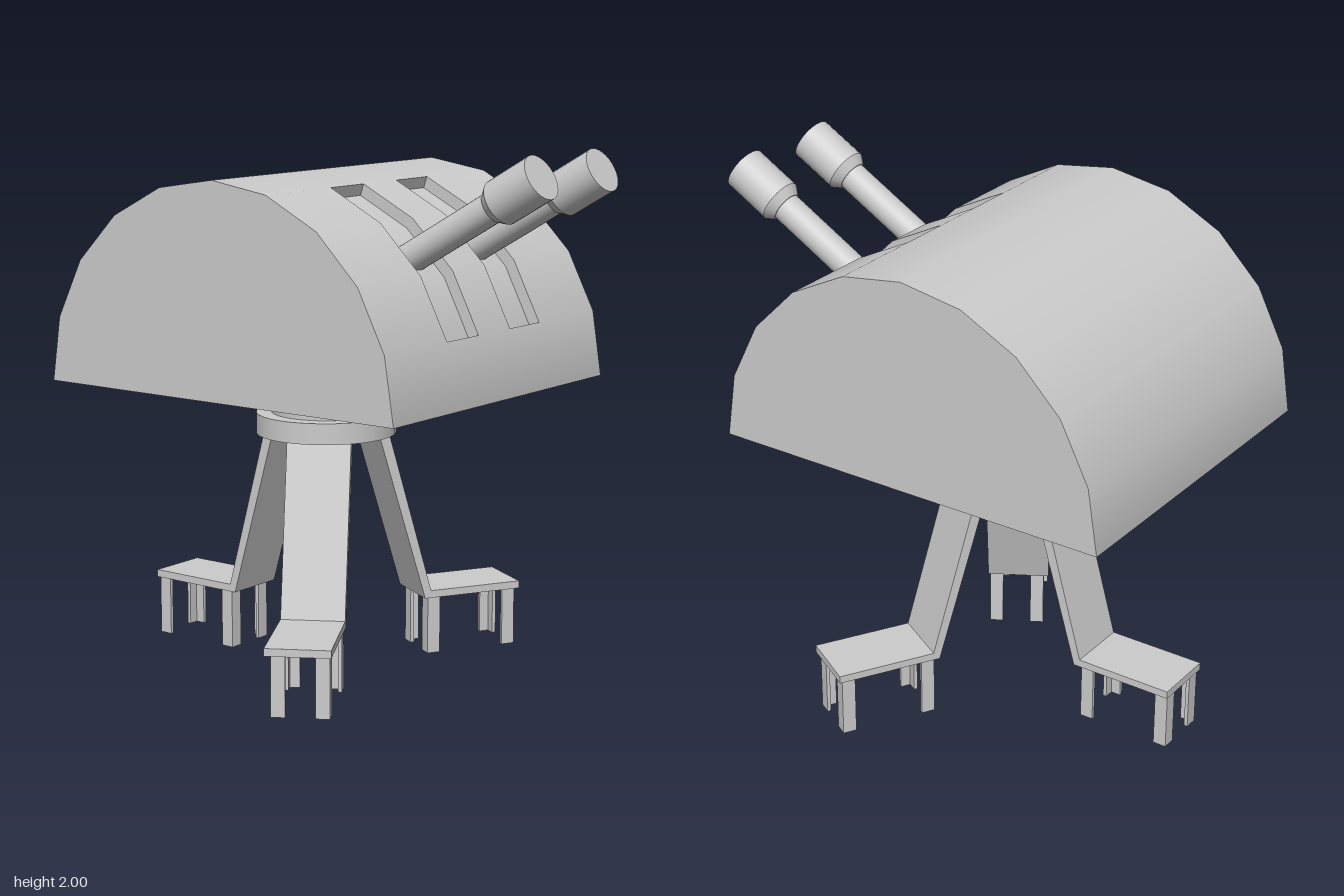
import * as THREE from 'three';
import { mergeGeometries } from 'three/addons/utils/BufferGeometryUtils.js';

const material = new THREE.MeshStandardMaterial({ color: 0xcccccc, side: THREE.DoubleSide });
const CENTER_Z = -0.16;
const R = 0.795, SLOT_R = 0.75;      // hood radius and slot floor radius
const STEP = Math.PI / 10;           // one facet of the hood arc
const X0 = -0.655, X1 = 0.685, BASE_Y = 1.1;
const GUN_X = [-0.19, 0.207], SLOT_HALF = 0.0975;

function mesh(name, geometry) {
  const m = new THREE.Mesh(geometry, material);
  m.name = name;
  return m;
}

// Strip of the hood arc between facets f0..f1, spanning xa..xb
function arcPanel(radius, f0, f1, xa, xb) {
  return new THREE.CylinderGeometry(radius, radius, xb - xa, f1 - f0, 1, true,
    Math.PI / 2 + f0 * STEP, (f1 - f0) * STEP)
    .rotateX(Math.PI / 2).rotateY(-Math.PI / 2).translate((xa + xb) / 2, 0, 0);
}

// Flat sector standing across x
function sideSector(inner, f0, f1, x, facing) {
  const g = new THREE.RingGeometry(inner, R, f1 - f0, 1,
    facing < 0 ? f0 * STEP : Math.PI - f1 * STEP, (f1 - f0) * STEP);
  return g.rotateY(facing < 0 ? -Math.PI / 2 : Math.PI / 2).translate(x, 0, 0);
}

// Short wall closing a slot at one facet edge
function slotEnd(facet, x, flip) {
  const g = new THREE.PlaneGeometry(R - SLOT_R, SLOT_HALF * 2).rotateX(flip * Math.PI / 2);
  return g.translate((R + SLOT_R) / 2, 0, 0).rotateZ(facet * STEP)
    .rotateY(-Math.PI / 2).translate(x, 0, 0);
}

function createHood() {
  const parts = [];
  let edge = X0;
  for (const x of GUN_X) {
    const a = x - SLOT_HALF, b = x + SLOT_HALF;
    parts.push(
      arcPanel(R, 0, 10, edge, a),
      arcPanel(R, 0, 1, a, b), arcPanel(R, 4, 10, a, b),
      arcPanel(SLOT_R, 1, 4, a, b),
      sideSector(SLOT_R, 1, 4, a, 1), sideSector(SLOT_R, 1, 4, b, -1),
      slotEnd(1, x, -1), slotEnd(4, x, 1));
    edge = b;
  }
  parts.push(arcPanel(R, 0, 10, edge, X1));
  // End walls and underside
  parts.push(sideSector(0, 0, 10, X0, -1), sideSector(0, 0, 10, X1, 1));
  parts.push(new THREE.PlaneGeometry(X1 - X0, R * 2).rotateX(Math.PI / 2)
    .translate((X0 + X1) / 2, 0, 0));
  const hood = mesh('hood', mergeGeometries(parts));
  hood.position.set(0, BASE_Y, CENTER_Z);
  return hood;
}

// Barrel pointing up +y with its muzzle face at the origin
function createGun(x) {
  const gun = new THREE.Group();
  gun.name = 'gun';
  const tube = (name, top, bottom, from, to) => {
    const m = mesh(name, new THREE.CylinderGeometry(top, bottom, from - to, 28));
    m.position.y = (from + to) / 2;
    gun.add(m);
  };
  tube('muzzle', 0.085, 0.085, 0, -0.19);
  tube('muzzleTaper', 0.085, 0.06, -0.19, -0.225);
  tube('barrel', 0.0565, 0.0565, -0.225, -0.8);
  gun.position.set(x, 1.928, 0.913);
  gun.rotation.x = Math.PI / 3;
  return gun;
}

// Leg running outward along +x: bent plate on four angle-section posts
function createLeg(angle) {
  const leg = new THREE.Group();
  leg.name = 'leg';
  const profile = [[0.165, 0.895], [0.362, 0.228], [0.768, 0.228],
    [0.768, 0.257], [0.387, 0.257], [0.207, 0.895]];
  const shape = new THREE.Shape(profile.map(([x, y]) => new THREE.Vector2(x, y)));
  leg.add(mesh('legPlate',
    new THREE.ExtrudeGeometry(shape, { depth: 0.242, bevelEnabled: false }).translate(0, 0, -0.121)));

  const w = 0.052, t = 0.014, h = 0.23;
  for (const sx of [-1, 1]) for (const sz of [-1, 1]) {
    const post = mesh('footPost', mergeGeometries([
      new THREE.BoxGeometry(t, h, w).translate(sx * (w - t) / 2, 0, 0),
      new THREE.BoxGeometry(w - t, h, t).translate(-sx * t / 2, 0, sz * (w - t) / 2)]));
    post.position.set(0.57 + sx * 0.161, h / 2, -0.008 + sz * 0.081);
    leg.add(post);
  }
  leg.position.z = CENTER_Z;
  leg.rotation.y = angle;
  return leg;
}

export function createModel() {
  const model = new THREE.Group();
  model.name = 'gunTurret';
  model.add(createHood());
  for (const x of GUN_X) model.add(createGun(x));

  // Pedestal
  const neck = mesh('neck', new THREE.CylinderGeometry(0.212, 0.212, 0.13, 32));
  neck.position.set(0.003, 1.036, CENTER_Z);
  const collar = mesh('collar', new THREE.CylinderGeometry(0.267, 0.267, 0.08, 32));
  collar.position.set(-0.002, 0.935, CENTER_Z);
  model.add(neck, collar);

  // One leg to the rear, two to the front
  for (let i = 0; i < 3; i++) model.add(createLeg(Math.PI / 2 + i * Math.PI * 2 / 3));
  return model;
}
